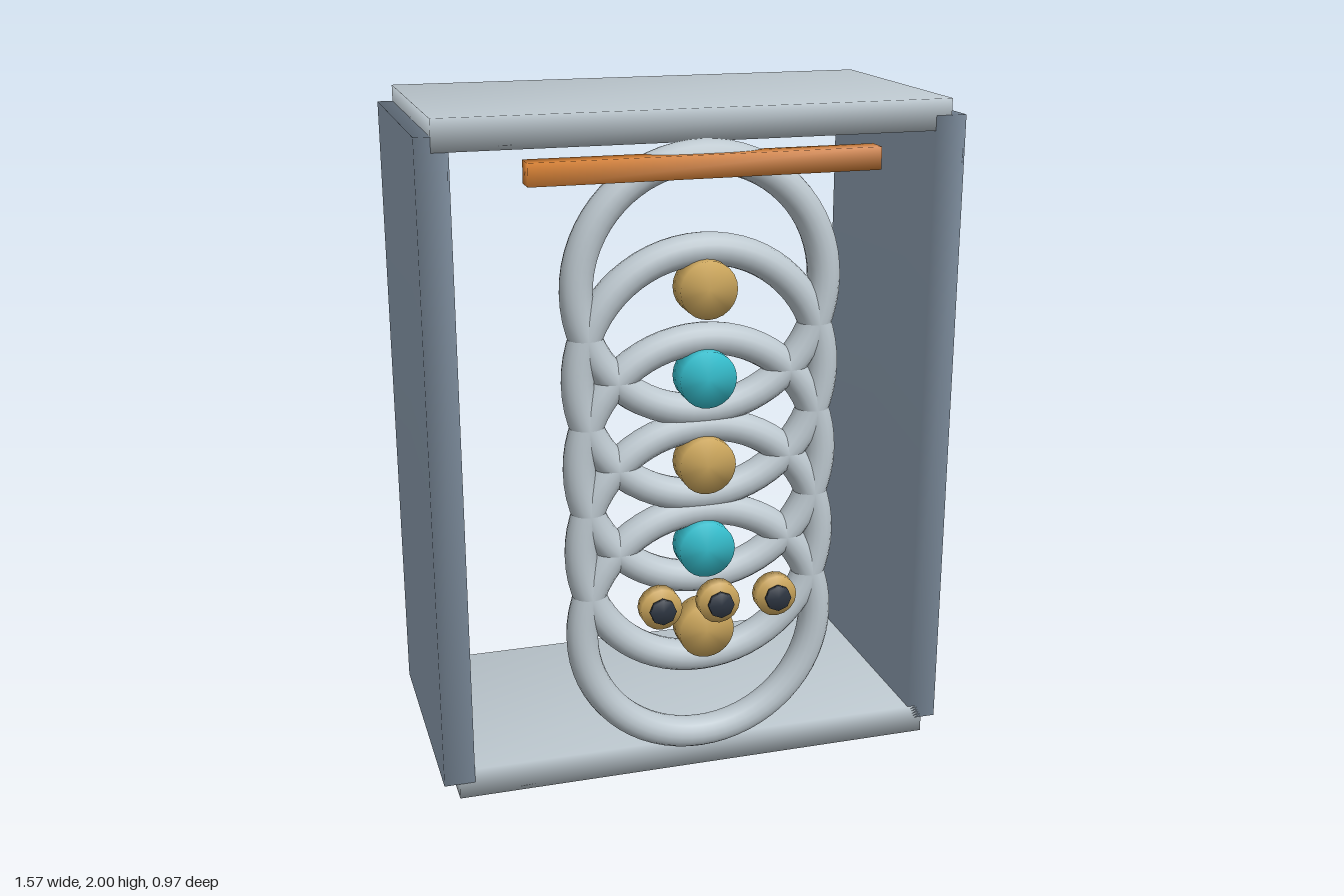
import * as THREE from 'three';
import { mergeVertices } from 'three/addons/utils/BufferGeometryUtils.js';

const mat = (name, color) => {
  const m = new THREE.MeshStandardMaterial({ color });
  m.name = name;
  return m;
};

// Share corners so the normals blend softly around the edges
function soften(geometry) {
  geometry.deleteAttribute('normal');
  geometry.deleteAttribute('uv');
  const g = mergeVertices(geometry, 1e-4);
  g.computeVertexNormals();
  return g;
}

export function createModel() {
  const silver = mat('silver', 0xbcc7ce);
  const steel = mat('steel blue', 0x94a6b9);
  const copper = mat('copper', 0xcf7c32);
  const gold = mat('gold', 0xcaa55c);
  const teal = mat('teal', 0x35bccb);
  const charcoal = mat('charcoal', 0x2e3642);

  const model = new THREE.Group();
  model.name = 'ringFrame';

  const add = (name, geometry, material, x, y, z) => {
    const mesh = new THREE.Mesh(geometry, material);
    mesh.name = name;
    mesh.position.set(x, y, z);
    model.add(mesh);
  };
  const box = (w, h, d) => soften(new THREE.BoxGeometry(w, h, d));
  const disc = (r, depth, sides) =>
    soften(new THREE.CylinderGeometry(r, r, depth, sides).rotateZ(Math.PI / 2).rotateY(-Math.PI / 2));

  // Open rectangular frame
  const slab = box(1.48, 0.09, 0.76);
  add('topPanel', slab, silver, 0, 1.955, -0.105);
  add('bottomPanel', slab, silver, 0, 0.045, -0.105);
  const wall = box(0.092, 1.905, 0.76);
  add('leftPanel', wall, steel, 0.739, 1.0, -0.105);
  add('rightPanel', wall, steel, -0.739, 1.0, -0.105);

  // Overlapping chain of rings, each with a disc at its centre
  const ring = new THREE.TorusGeometry(0.362, 0.047, 16, 64);
  const hub = disc(0.083, 0.08, 24);
  for (let i = 0; i < 5; i++) {
    const y = 0.48 + i * 0.2575;
    add('ring', ring, silver, 0, y, 0.28);
    add('ringDisc', hub, i % 2 ? teal : gold, 0, y, 0.309);
  }

  // Crossbar in front of the uppermost ring
  add('crossbar', box(1, 0.064, 0.064), copper, 0, 1.852, 0.312);

  // Row of three knobs with dark caps
  const knob = disc(0.061, 0.04, 16);
  const cap = disc(0.038, 0.015, 8);
  for (const x of [-0.172, 0, 0.172]) {
    add('knob', knob, gold, x, 0.622, 0.446);
    add('knobCap', cap, charcoal, x, 0.622, 0.48);
  }

  return model;
}
